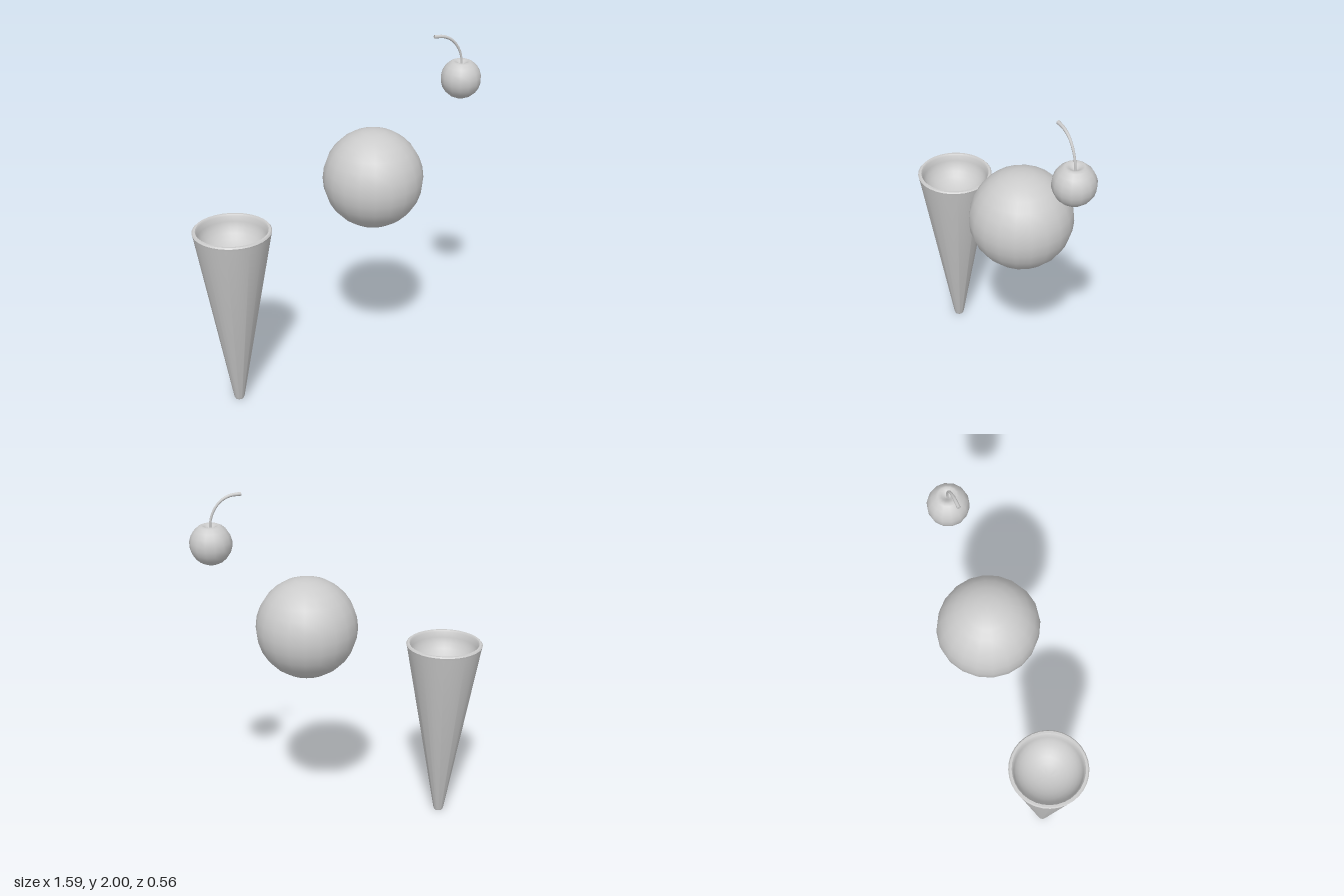
import * as THREE from 'three';
import { toCreasedNormals } from 'three/addons/utils/BufferGeometryUtils.js';

const material = new THREE.MeshStandardMaterial({ color: 0xcccccc, side: THREE.DoubleSide });

function addPart(group, name, geometry, x = 0, y = 0, z = 0) {
  const mesh = new THREE.Mesh(geometry, material);
  mesh.name = name;
  mesh.position.set(x, y, z);
  group.add(mesh);
  return mesh;
}

function lathe(points, segments) {
  return new THREE.LatheGeometry(points.map(([r, y]) => new THREE.Vector2(r, y)), segments);
}

// Tapered cone with a blunt tip, a rounded rim and a bowl-shaped hollow
function coneGeometry() {
  const profile = [[0, 0], [0.024, 0], [0.029, 0.012], [0.208, 1.035], [0.212, 1.05], [0.206, 1.057], [0.194, 1.057], [0.187, 1.048]];
  for (let i = 1; i <= 8; i++) {
    const a = (i / 8) * Math.PI / 2;
    profile.push([0.187 * Math.cos(a), 1.048 - 0.16 * Math.sin(a)]);
  }
  return toCreasedNormals(lathe(profile, 32), 0.7);
}

// Ball with a slight swelling towards front and back
function scoopGeometry() {
  const geometry = new THREE.SphereGeometry(0.271, 20, 14);
  const p = geometry.attributes.position;
  for (let i = 0; i < p.count; i++) {
    const z = p.getZ(i);
    p.setZ(i, z * (1 + 0.025 * Math.pow(Math.abs(z) / 0.271, 6)));
  }
  return geometry;
}

// Round fruit with a dimple at the top
function cherryGeometry() {
  const profile = [];
  for (let i = 0; i <= 9; i++) {
    const a = -Math.PI / 2 + (i / 9) * 2.55;
    profile.push([Math.max(0, 0.108 * Math.cos(a)), 0.108 * Math.sin(a)]);
  }
  profile.push([0.047, 0.096], [0.03, 0.091], [0.014, 0.078], [0, 0.07]);
  return lathe(profile, 14);
}

export function createModel() {
  const model = new THREE.Group();
  model.name = 'iceCream';

  addPart(model, 'cone', coneGeometry(), -0.588);
  addPart(model, 'scoop', scoopGeometry(), 0.2, 1.244);

  const cherry = new THREE.Group();
  cherry.name = 'cherry';
  cherry.position.set(0.69, 1.748, 0);
  model.add(cherry);
  addPart(cherry, 'fruit', cherryGeometry());

  // Curved stem that thickens towards its free end
  const path = new THREE.CatmullRomCurve3(
    [[0, 0.07], [-0.003, 0.115], [-0.022, 0.168], [-0.058, 0.213], [-0.105, 0.237], [-0.162, 0.242]]
      .map(([x, y]) => new THREE.Vector3(x, y, 0)));
  const rings = 14, sides = 8;
  const stem = new THREE.TubeGeometry(path, rings, 1, sides);
  const p = stem.attributes.position;
  const v = new THREE.Vector3();
  for (let i = 0; i < p.count; i++) {
    const t = Math.floor(i / (sides + 1)) / rings;
    const c = path.getPointAt(t);
    v.fromBufferAttribute(p, i).sub(c).multiplyScalar(0.006 + 0.004 * t * t).add(c);
    p.setXYZ(i, v.x, v.y, v.z);
  }
  addPart(cherry, 'stem', stem);
  const cap = addPart(cherry, 'stemEnd', new THREE.CircleGeometry(0.01, sides), -0.162, 0.242);
  cap.rotation.y = -Math.PI / 2;

  return model;
}
